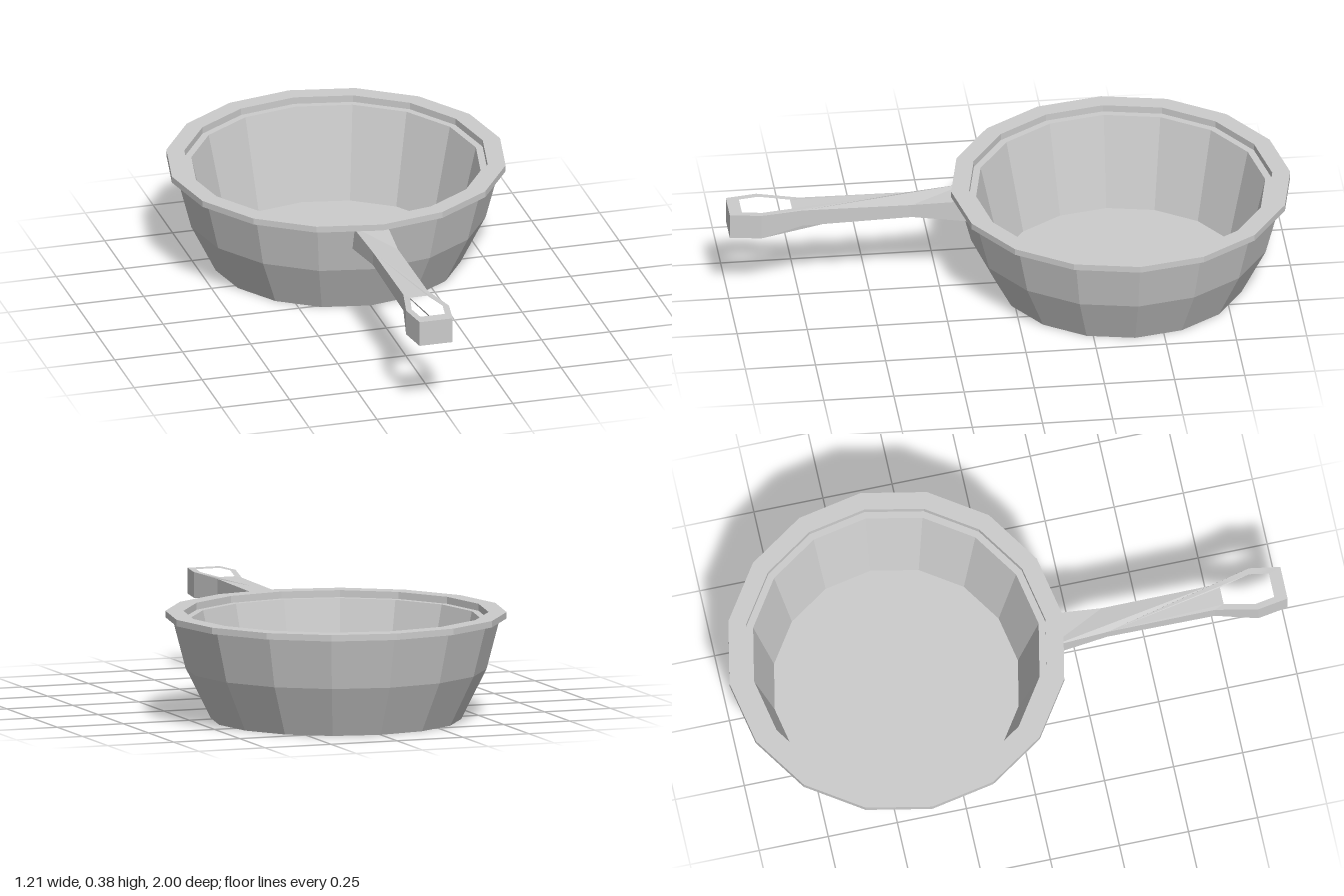
import * as THREE from 'three';

const material = new THREE.MeshStandardMaterial({ color: 0xcccccc, flatShading: true });

// Piecewise-linear lookup in [position, value] pairs
function lerpTable(table, p) {
  let i = 0;
  while (i < table.length - 2 && p > table[i + 1][0]) i++;
  const [a, va] = table[i], [b, vb] = table[i + 1];
  return va + (vb - va) * (p - a) / (b - a);
}

// Symmetric plan outline from [z, halfWidth] pairs
function outline(Type, sections) {
  const right = sections.map(([z, w]) => new THREE.Vector2(w, -z));
  const left = sections.map(([z, w]) => new THREE.Vector2(-w, -z)).reverse();
  return new Type([...right, ...left]);
}

// Faceted bowl with outer walls, lip, inner ledge and floor
function createBowl() {
  const profile = [
    [0, 0], [0.443, 0], [0.533, 0.18], [0.58, 0.36], [0.604, 0.36], [0.604, 0.383],
    [0.54, 0.383], [0.54, 0.358], [0.515, 0.358], [0.44, 0.02], [0, 0.02],
  ].map(([r, y]) => new THREE.Vector2(r, y));
  const bowl = new THREE.Mesh(new THREE.LatheGeometry(profile, 16), material);
  bowl.name = 'bowl';
  bowl.position.z = -0.396;
  return bowl;
}

// Handle with a hanging hole, its thickness varying along the length
function createHandle() {
  const shape = outline(THREE.Shape, [
    [0.14, 0.062], [0.35, 0.046], [0.74, 0.046], [0.89, 0.079], [1, 0.061],
  ]);
  shape.holes.push(outline(THREE.Path, [[0.775, 0.032], [0.885, 0.057], [0.955, 0.045]]));
  const geometry = new THREE.ExtrudeGeometry(shape, { depth: 1, bevelEnabled: false });
  geometry.rotateX(-Math.PI / 2);

  const bottom = [[0.14, 0.273], [0.35, 0.297], [0.74, 0.288], [0.89, 0.265], [1, 0.265]];
  const top = [[0.14, 0.358], [0.35, 0.346], [0.74, 0.35], [0.89, 0.357], [1, 0.357]];
  const pos = geometry.attributes.position;
  for (let i = 0; i < pos.count; i++) {
    const z = pos.getZ(i);
    pos.setY(i, lerpTable(pos.getY(i) > 0.5 ? top : bottom, z));
  }
  geometry.computeVertexNormals();

  const handle = new THREE.Mesh(geometry, material);
  handle.name = 'handle';
  handle.position.x = -0.032;
  return handle;
}

export function createModel() {
  const pan = new THREE.Group();
  pan.name = 'pan';
  pan.add(createBowl(), createHandle());
  return pan;
}
